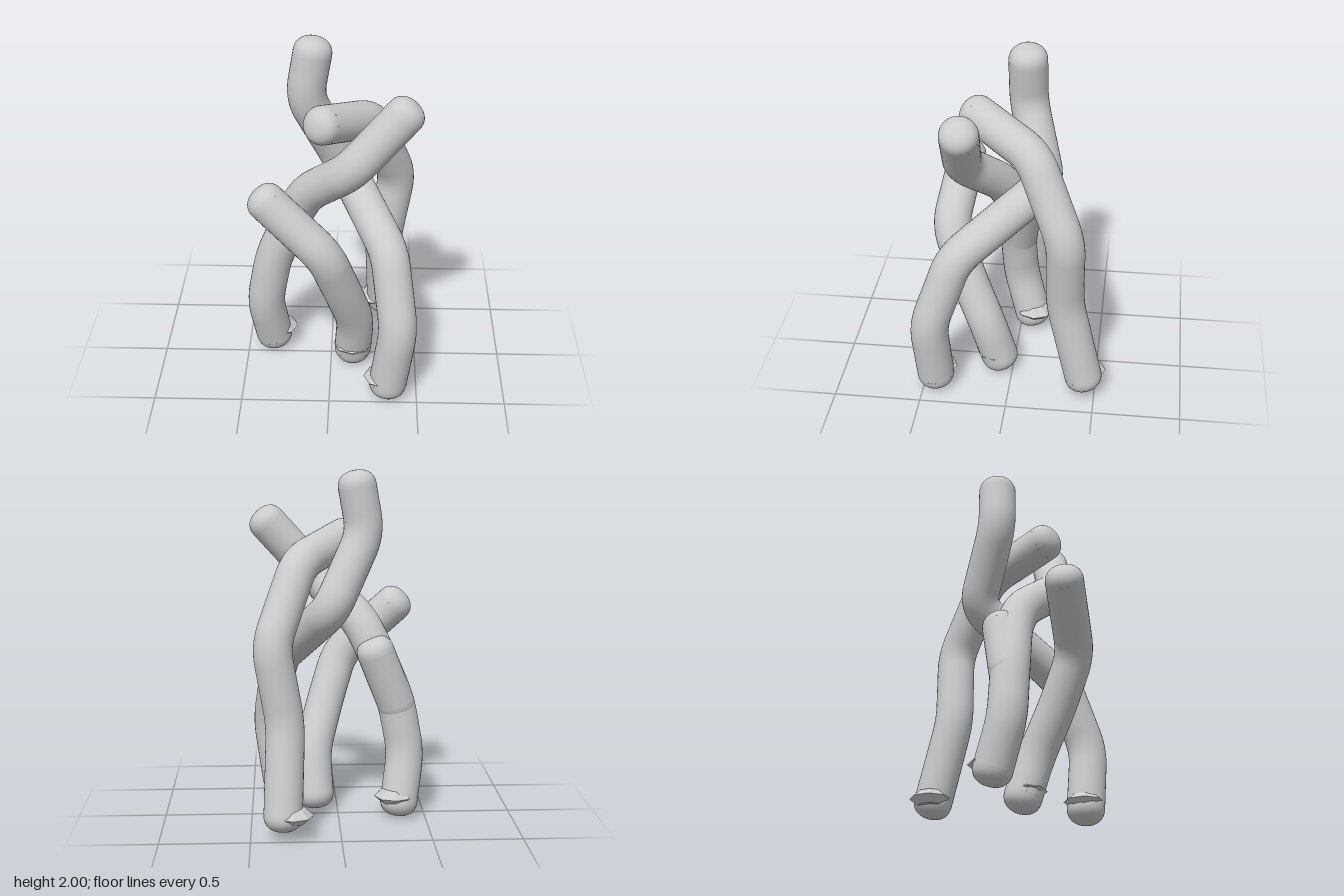
import * as THREE from 'three';

const RADIUS = 0.108;
const CAP_HEIGHT = 0.092;
const BEND = 0.1;

// Straight runs joined by short rounded elbows
function elbowPath(coords) {
  const pts = coords.map(p => new THREE.Vector3(...p));
  const path = new THREE.CurvePath();
  const towards = (from, to) => {
    const length = from.distanceTo(to);
    return from.clone().lerp(to, Math.min(BEND, length * 0.45) / length);
  };
  let start = pts[0];
  for (let i = 1; i < pts.length - 1; i++) {
    const enter = towards(pts[i], pts[i - 1]);
    const leave = towards(pts[i], pts[i + 1]);
    path.add(new THREE.LineCurve3(start, enter));
    path.add(new THREE.QuadraticBezierCurve3(enter, pts[i], leave));
    start = leave;
  }
  path.add(new THREE.LineCurve3(start, pts[pts.length - 1]));
  return path;
}

// Blunt dome closing a tube end, facing along the given direction
function endCap(point, direction) {
  const profile = [];
  for (let i = 0; i <= 10; i++) {
    const a = (i / 10) * Math.PI / 2;
    const r = i === 10 ? 0 : RADIUS * Math.cos(a) ** 0.88;
    profile.push(new THREE.Vector2(r, CAP_HEIGHT * Math.sin(a) ** 0.88));
  }
  const cap = new THREE.Mesh(new THREE.LatheGeometry(profile, 32));
  cap.position.copy(point);
  cap.quaternion.setFromUnitVectors(new THREE.Vector3(0, 1, 0), direction);
  return cap;
}

// Bent round limb from its upper end to its foot
function limb(name, points, material) {
  const group = new THREE.Group();
  group.name = name;
  const curve = elbowPath(points);
  const tube = new THREE.Mesh(new THREE.TubeGeometry(curve, 120, RADIUS, 32));
  tube.name = name + 'Tube';
  const top = endCap(curve.getPointAt(0), curve.getTangentAt(0).negate());
  top.name = name + 'Top';
  const foot = endCap(curve.getPointAt(1), curve.getTangentAt(1));
  foot.name = name + 'Foot';
  group.add(tube, top, foot);
  group.children.forEach(m => { m.material = material; });
  return group;
}

// Small faceted ridge poking out around a foot
function ankleRidge(name, position, material) {
  const profile = [[0, -0.05], [0.07, -0.04], [0.115, 0], [0.07, 0.04], [0, 0.05]];
  const geo = new THREE.LatheGeometry(profile.map(p => new THREE.Vector2(...p)), 8);
  const ridge = new THREE.Mesh(geo, material);
  ridge.name = name;
  ridge.position.set(...position);
  return ridge;
}

export function createModel() {
  const model = new THREE.Group();
  model.name = 'tangledLimbs';
  const smooth = new THREE.MeshStandardMaterial({ color: 0xcccccc });
  const faceted = new THREE.MeshStandardMaterial({ color: 0xcccccc, flatShading: true });

  const limbs = {
    tallLimb: {
      path: [[-0.105, 1.907, -0.06], [-0.15, 1.65, -0.06], [0.045, 1.235, -0.18],
        [0.33, 0.88, 0.305], [0.388, 0.46, 0.455], [0.335, 0.1, 0.43]],
      ridge: [0.31, 0.13, 0.42],
    },
    crossingLimb: {
      path: [[0.395, 1.68, 0.25], [0.11, 1.36, 0.28], [-0.13, 1.135, 0.085],
        [-0.205, 0.985, 0.035], [-0.335, 0.68, 0.02], [-0.392, 0.37, 0.005],
        [-0.35, 0.1, -0.07]],
      ridge: [-0.32, 0.135, -0.09],
    },
    backLimb: {
      path: [[-0.04, 1.6, 0.21], [0.22, 1.495, -0.125], [0.38, 1.06, -0.32],
        [0.303, 0.62, -0.317], [0.32, 0.135, -0.432]],
      ridge: [0.265, 0.14, -0.445],
    },
    shortLimb: {
      path: [[-0.343, 1.19, 0.32], [-0.025, 0.89, 0.38], [0.07, 0.6, 0.27],
        [0.145, 0.34, 0.15], [0.13, 0.105, 0.08]],
      ridge: [0.13, 0.135, 0.1],
    },
  };

  for (const [name, { path, ridge }] of Object.entries(limbs)) {
    const part = limb(name, path, smooth);
    part.add(ankleRidge(name + 'Ridge', ridge, faceted));
    model.add(part);
  }

  // Rounded shoulder behind the crossing limb's elbow
  model.add(limb('crossingLimbShoulder', [[-0.215, 0.965, -0.03], [-0.335, 0.66, 0.01]], smooth));
  return model;
}
